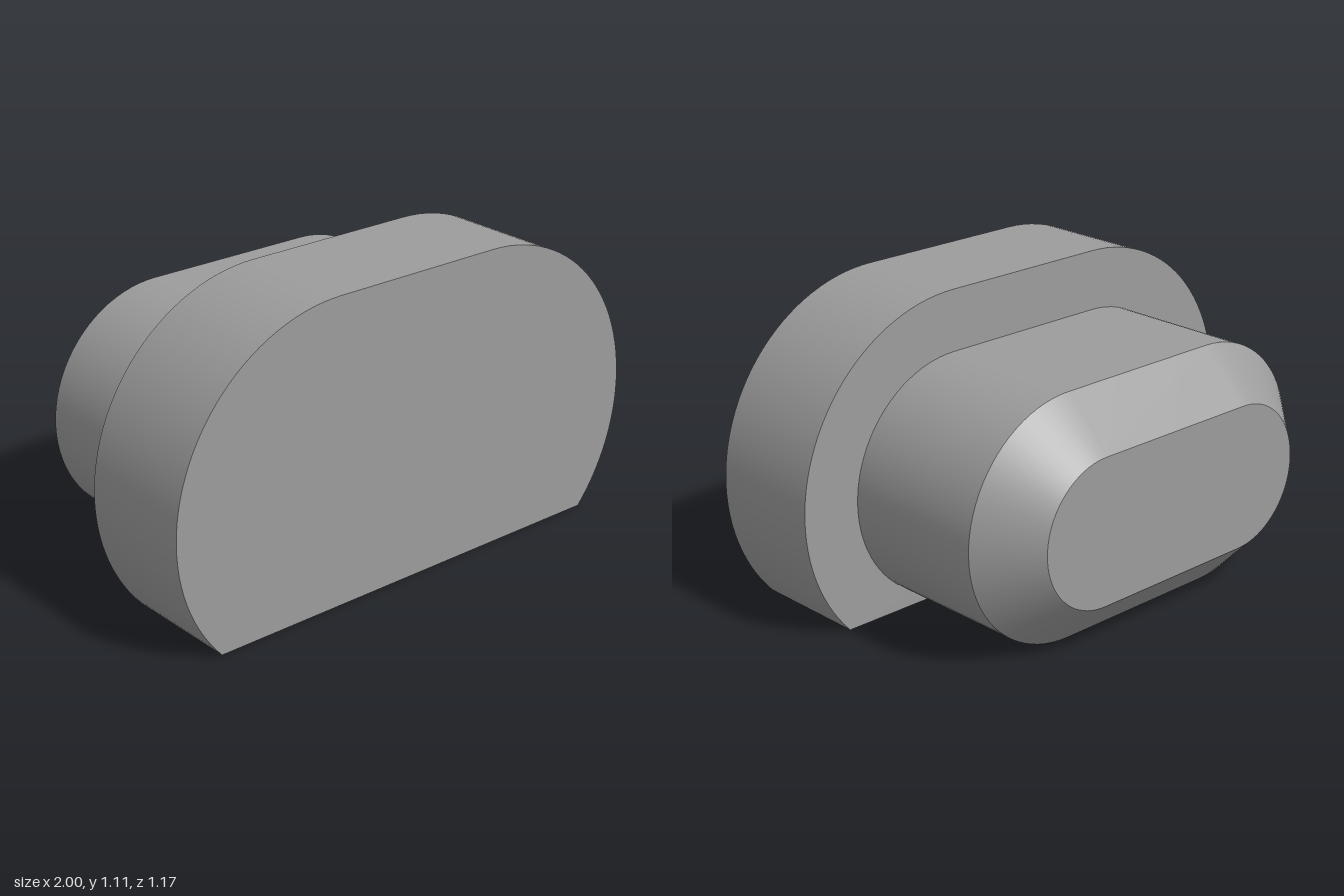
import * as THREE from 'three';
import { toCreasedNormals } from 'three/addons/utils/BufferGeometryUtils.js';

const AXIS_Y = 0.4445;   // height of the shared centre line
const HALF_SPAN = 0.3333; // x offset of the two arc centres
const ARC_STEPS = 40;

// Rounded slot outline, counter-clockwise; each arc starts `drop` radians below horizontal
function slotOutline(radius, drop) {
  const points = [];
  for (const side of [1, -1]) {
    for (let i = 0; i <= ARC_STEPS; i++) {
      const t = i / ARC_STEPS;
      const sweep = (drop + Math.PI / 2) * t;
      const angle = side > 0 ? -drop + sweep : Math.PI / 2 + sweep;
      points.push([side * HALF_SPAN + radius * Math.cos(angle), AXIS_Y + radius * Math.sin(angle)]);
    }
  }
  return points;
}

// Skin slot sections listed from back to front, closing the chosen ends
function loftSlots(sections, drop, capFront) {
  const positions = [];
  const rings = sections.map(({ z, radius }) =>
    slotOutline(radius, drop).map(([x, y]) => [x, y, z]));
  const triangle = (a, b, c) => positions.push(...a, ...b, ...c);
  const count = rings[0].length;
  for (let s = 0; s < rings.length - 1; s++) {
    for (let i = 0; i < count; i++) {
      const j = (i + 1) % count;
      const [back, front] = [rings[s], rings[s + 1]];
      triangle(back[i], back[j], front[j]);
      triangle(back[i], front[j], front[i]);
    }
  }
  const first = rings[0], last = rings[rings.length - 1];
  for (let i = 1; i < count - 1; i++) {
    triangle(first[0], first[i + 1], first[i]);
    if (capFront) triangle(last[0], last[i], last[i + 1]);
  }
  const geometry = new THREE.BufferGeometry();
  geometry.setAttribute('position', new THREE.Float32BufferAttribute(positions, 3));
  return toCreasedNormals(geometry, 0.4);
}

export function createModel() {
  const group = new THREE.Group();
  group.name = 'slottedPlug';
  const grey = new THREE.MeshStandardMaterial({ color: 0x9c9c9c });
  grey.name = 'plain grey';

  const addPart = (name, geometry) => {
    const mesh = new THREE.Mesh(geometry, grey);
    mesh.name = name;
    group.add(mesh);
  };

  // Wide head with its underside cut flat at the ground
  const headRadius = 0.6667;
  addPart('head', loftSlots([
    { z: 0.147, radius: headRadius },
    { z: 0.5875, radius: headRadius },
  ], Math.asin(AXIS_Y / headRadius), true));

  // Full slot-shaped stem with a chamfered back end
  addPart('stem', loftSlots([
    { z: -0.5875, radius: 0.267 },
    { z: -0.41, radius: AXIS_Y },
    { z: 0.147, radius: AXIS_Y },
  ], Math.PI / 2, false));

  return group;
}
